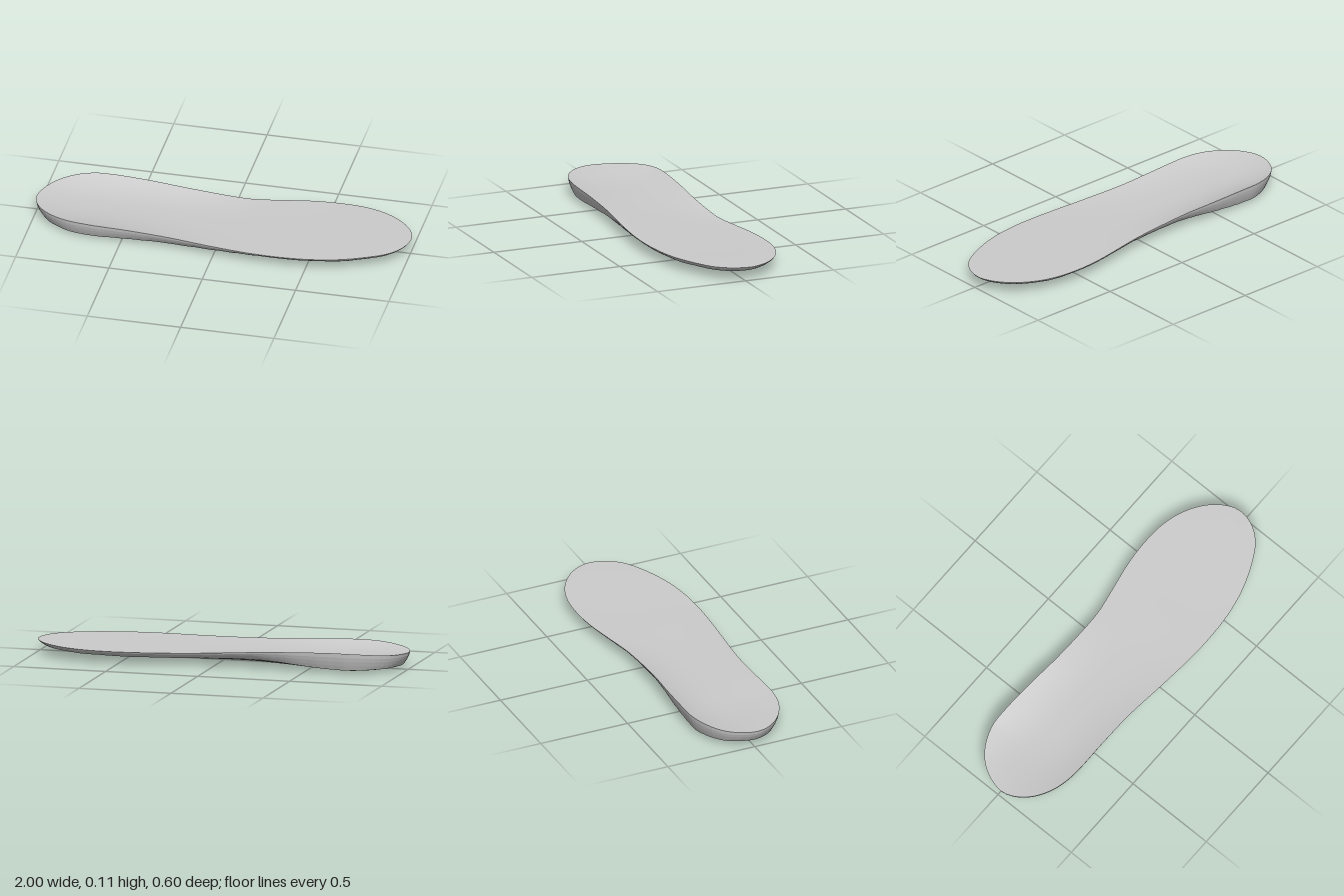
import * as THREE from 'three';

// Rim of the footbed as (x, y, z): heel, arch side, toe, outer side
const RIM = [
  [-1, .088, .02], [-.98, .09, -.07], [-.93, .096, -.15], [-.85, .105, -.21], [-.75, .111, -.245],
  [-.65, .112, -.25], [-.45, .105, -.245], [-.25, .094, -.233], [0, .076, -.232], [.1, .07, -.238],
  [.25, .068, -.265], [.4, .068, -.292], [.55, .068, -.303], [.7, .069, -.291], [.82, .07, -.25],
  [.92, .071, -.18], [.98, .072, -.1], [1, .072, -.03], [.98, .072, .06], [.92, .071, .14],
  [.8, .07, .21], [.65, .068, .265], [.5, .067, .292], [.35, .066, .3], [.2, .066, .296],
  [0, .07, .28], [-.25, .08, .258], [-.45, .09, .255], [-.7, .098, .253], [-.82, .096, .225],
  [-.92, .092, .165], [-.98, .089, .09],
].map((p) => new THREE.Vector3(...p));

const N = 160;      // points around the rim
const INSET = 0.89; // how far in the underside begins
const rim = new THREE.CatmullRomCurve3(RIM, true).getSpacedPoints(N).slice(0, N);
// Every rim point has a partner on the central spine
const spine = rim.map((p) => new THREE.Vector3(THREE.MathUtils.clamp(p.x, -0.72, 0.66), 0, 0));

// Smooth interpolation through [x, y] pairs
function profile(pairs) {
  return (x) => {
    if (x <= pairs[0][0]) return pairs[0][1];
    for (let i = 1; i < pairs.length; i++) {
      const [x0, y0] = pairs[i - 1], [x1, y1] = pairs[i];
      if (x <= x1) return y0 + (y1 - y0) * THREE.MathUtils.smoothstep(x, x0, x1);
    }
    return pairs[pairs.length - 1][1];
  };
}
const topMiddle = profile([[-1, .08], [-.6, .068], [0, .063], [.35, .065], [1, .072]]);
const soleMiddle = profile([[-.97, .006], [-.78, 0], [-.5, .01], [-.05, .025], [.45, .028], [1, .042]]);
const soleEdge = profile([[-1, .024], [-.7, .019], [-.2, .029], [.4, .041], [1, .047]]);

// Flat treads joined by short slopes
function terrace(y, step = 0.003) {
  const f = y / step, k = Math.floor(f);
  return step * (k + THREE.MathUtils.smoothstep(f - k, 0.72, 1));
}

// Underside height, lifted under the arch
function soleY(x, z, s) {
  const e = Math.pow(s / INSET, 2.2);
  const arch = z < 0 ? 0.022 * Math.exp(-(((x + 0.22) / 0.3) ** 2)) * Math.pow(s / INSET, 3) : 0;
  return terrace(THREE.MathUtils.lerp(soleMiddle(x), soleEdge(x), e) + arch);
}

// Surface from closed rings; point(i, j) gives ring i, rim position j
function loft(rings, point, flatShading, name) {
  const pos = [], index = [];
  for (let i = 0; i <= rings; i++) {
    for (let j = 0; j < N; j++) {
      const p = point(i / rings, j);
      pos.push(p.x, p.y, p.z);
      if (i === rings) continue;
      const a = i * N + j, b = i * N + (j + 1) % N;
      index.push(a, b, a + N, b, b + N, a + N);
    }
  }
  const g = new THREE.BufferGeometry();
  g.setAttribute('position', new THREE.Float32BufferAttribute(pos, 3));
  g.setIndex(index);
  g.computeVertexNormals();
  const mesh = new THREE.Mesh(g, new THREE.MeshStandardMaterial({
    color: 0xcccccc, flatShading, side: THREE.DoubleSide,
  }));
  mesh.name = name;
  return mesh;
}

// Point at fraction s from the spine to the rim
const at = (s, j) => spine[j].clone().lerp(rim[j], s);

export function createModel() {
  const group = new THREE.Group();
  group.name = 'insole';

  // Upper face with its shallow heel cup
  group.add(loft(14, (t, j) => {
    const p = at(t, j);
    p.y = THREE.MathUtils.lerp(topMiddle(p.x), rim[j].y, Math.pow(t, 2.4));
    return p;
  }, false, 'footbed'));

  // Bevelled wall, faceted, tucking in beneath the rim
  group.add(loft(4, (t, j) => {
    const inner = at(INSET, j);
    const low = soleY(inner.x, inner.z, INSET);
    const p = at(THREE.MathUtils.lerp(1, INSET, Math.pow(t, 1.5)), j);
    p.y = THREE.MathUtils.lerp(rim[j].y, low, t);
    return p;
  }, true, 'sideWall'));

  // Underside with contour terraces
  group.add(loft(56, (t, j) => {
    const s = INSET * (1 - t);
    const p = at(s, j);
    p.y = soleY(p.x, p.z, s);
    return p;
  }, true, 'terracedSole'));

  return group;
}
